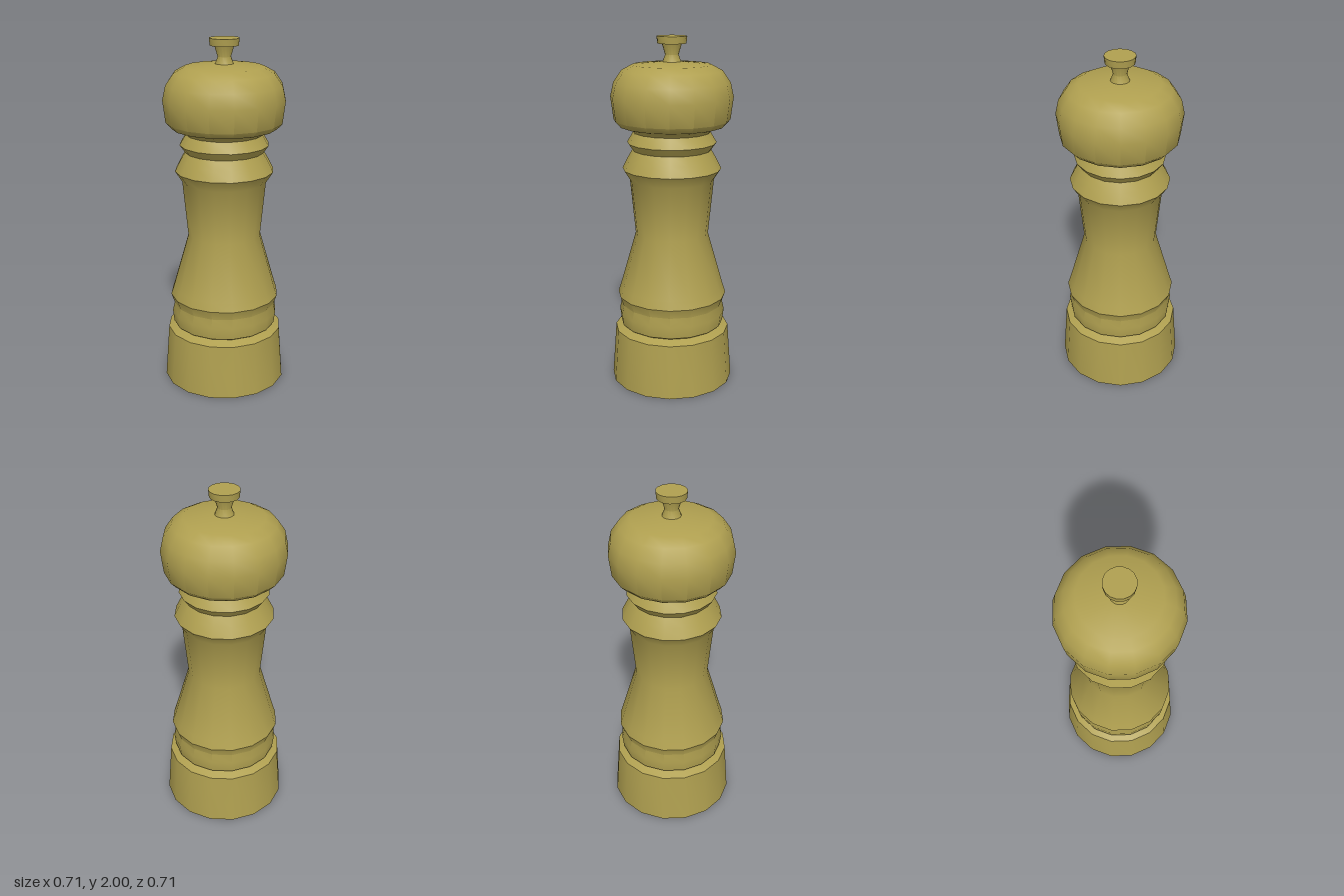
import * as THREE from 'three';
import { toCreasedNormals } from 'three/addons/utils/BufferGeometryUtils.js';

const SIDES = 16;

export function createModel() {
  const mill = new THREE.Group();
  mill.name = 'pepperMill';
  const wood = new THREE.MeshStandardMaterial({ color: 0xb0a050 });

  // Turns a [radius, height] profile; sharp steps stay creased
  function turned(name, profile) {
    const points = profile.map(([r, y]) => new THREE.Vector2(r, y));
    const geometry = toCreasedNormals(new THREE.LatheGeometry(points, SIDES), 0.64);
    const mesh = new THREE.Mesh(geometry, wood);
    mesh.name = name;
    mill.add(mesh);
  }

  // Hollow foot: recess ceiling, inner wall, rim, outer wall, top ledge
  turned('base', [
    [0, 0.29], [0.305, 0.29], [0.33, 0], [0.355, 0], [0.332, 0.313], [0.28, 0.335],
  ]);

  // Waisted shaft with a lower bead and two collars below the head
  turned('body', [
    [0.28, 0.335], [0.3, 0.347], [0.308, 0.415], [0.296, 0.467], [0.315, 0.52],
    [0.3, 0.567], [0.209, 0.885], [0.24, 1.204], [0.28, 1.266], [0.25, 1.326],
    [0.222, 1.374], [0.252, 1.416], [0.217, 1.475],
  ]);

  // Rounded turning head
  turned('head', [
    [0.217, 1.475], [0.235, 1.495], [0.297, 1.512], [0.327, 1.544], [0.343, 1.67],
    [0.325, 1.75], [0.28, 1.815], [0.22, 1.847], [0.05, 1.862], [0, 1.862],
  ]);

  // Flared stem and flat finger knob
  turned('knob', [
    [0.052, 1.86], [0.037, 1.9], [0.055, 1.96], [0.08, 1.96], [0.084, 2], [0, 2],
  ]);

  return mill;
}
